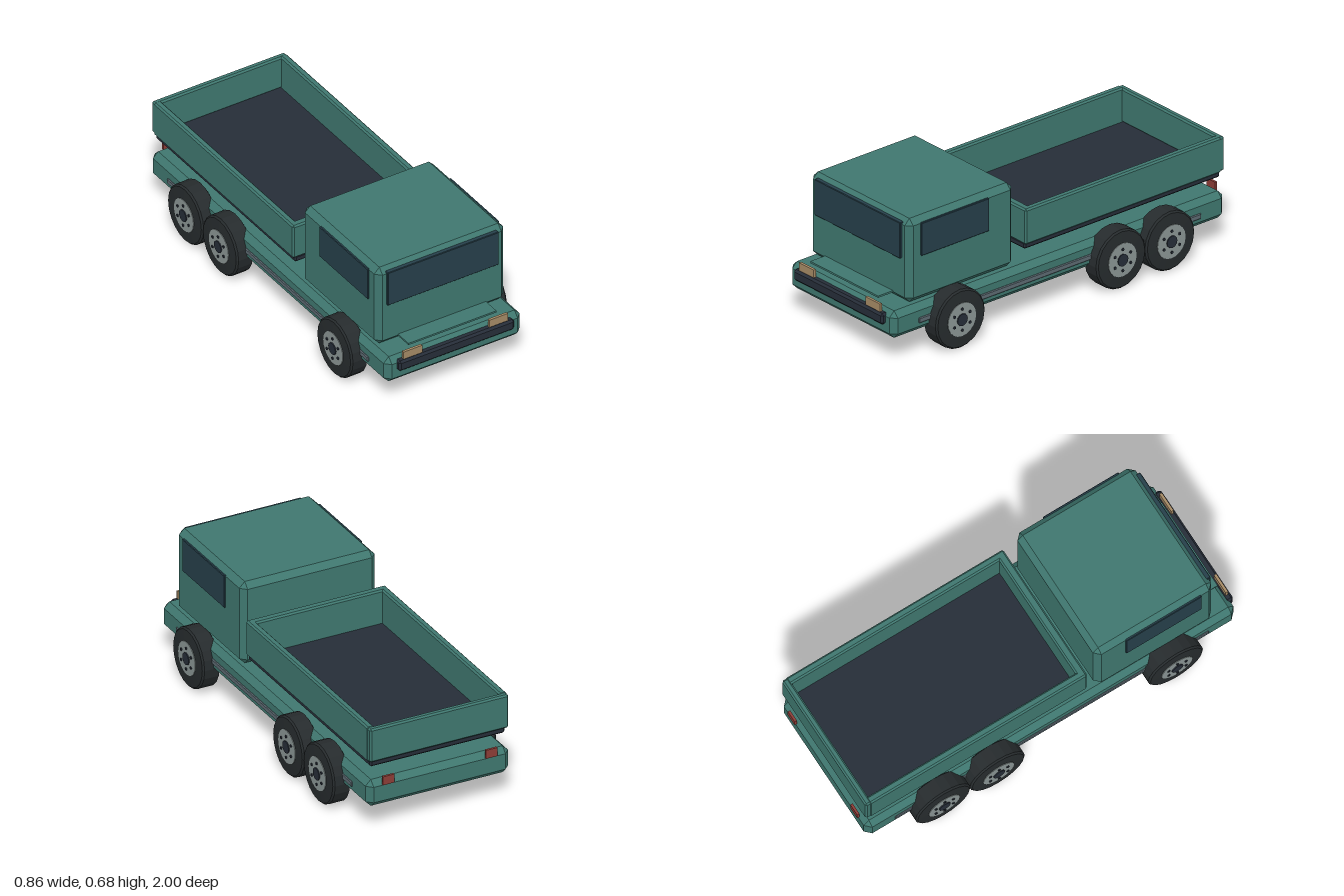
import * as THREE from 'three';
import { ConvexGeometry } from 'three/addons/geometries/ConvexGeometry.js';

const mat = (color, flatShading = true) => new THREE.MeshStandardMaterial({ color, flatShading });
const paint = mat(0x3f776f);
const dark = mat(0x262d38);
const glass = mat(0x263f4a);
const rubber = mat(0x262b2d);
const metal = mat(0x8a9594);
const steel = mat(0x5c6a72);
const amber = mat(0xa58a65);
const red = mat(0x8c3c36);

// Box given by its limits, with every edge and corner cut at size c
function block(parent, name, material, [x0, x1], [y0, y1], [z0, z1], c = 0) {
  const hx = (x1 - x0) / 2, hy = (y1 - y0) / 2, hz = (z1 - z0) / 2;
  let geometry;
  if (c > 0) {
    const pts = [];
    for (const sx of [-1, 1]) for (const sy of [-1, 1]) for (const sz of [-1, 1]) {
      pts.push(
        new THREE.Vector3(sx * hx, sy * (hy - c), sz * (hz - c)),
        new THREE.Vector3(sx * (hx - c), sy * hy, sz * (hz - c)),
        new THREE.Vector3(sx * (hx - c), sy * (hy - c), sz * hz));
    }
    geometry = new ConvexGeometry(pts);
  } else {
    geometry = new THREE.BoxGeometry(2 * hx, 2 * hy, 2 * hz);
  }
  const mesh = new THREE.Mesh(geometry, material);
  mesh.name = name;
  mesh.position.set((x0 + x1) / 2, (y0 + y1) / 2, (z0 + z1) / 2);
  parent.add(mesh);
  return mesh;
}

// Same block on both sides of the truck
function pair(parent, name, material, [x0, x1], y, z, c) {
  block(parent, name + 'Left', material, [x0, x1], y, z, c);
  block(parent, name + 'Right', material, [-x1, -x0], y, z, c);
}

// Disc whose axis runs along x
function disc(parent, name, material, r, x0, x1, y = 0, z = 0, sides = 18) {
  const mesh = new THREE.Mesh(
    new THREE.CylinderGeometry(r, r, x1 - x0, sides).rotateZ(-Math.PI / 2), material);
  mesh.name = name;
  mesh.position.set((x0 + x1) / 2, y, z);
  parent.add(mesh);
}

// Wheel with its outer face towards +x
function makeWheel(name) {
  const wheel = new THREE.Group();
  wheel.name = name;
  const profile = [[0, -0.045], [0.138, -0.045], [0.146, -0.04], [0.146, 0.036],
    [0.138, 0.044], [0.088, 0.048], [0, 0.048]].map(p => new THREE.Vector2(...p));
  const tyre = new THREE.Mesh(new THREE.LatheGeometry(profile, 20).rotateZ(-Math.PI / 2), rubber);
  tyre.name = 'tyre';
  wheel.add(tyre);
  disc(wheel, 'rim', metal, 0.083, 0.03, 0.051, 0, 0, 20);
  disc(wheel, 'hub', dark, 0.03, 0.04, 0.056, 0, 0, 12);
  for (let i = 0; i < 6; i++) {
    const a = (i / 6) * Math.PI * 2;
    disc(wheel, 'wheelNut', dark, 0.007, 0.045, 0.056, 0.053 * Math.cos(a), 0.053 * Math.sin(a), 6);
  }
  return wheel;
}

export function createModel() {
  const truck = new THREE.Group();
  truck.name = 'truck';

  // Chassis
  const chassis = new THREE.Group();
  chassis.name = 'chassis';
  truck.add(chassis);
  block(chassis, 'chassisBody', paint, [-0.365, 0.365], [0.125, 0.26], [-0.99, 0.98], 0.028);
  block(chassis, 'underTray', dark, [-0.28, 0.28], [0.095, 0.14], [-0.9, 0.89], 0.008);
  pair(chassis, 'sideRail', steel, [0.35, 0.371], [0.17, 0.197], [-0.84, 0.83], 0.004);
  block(chassis, 'frontBumper', dark, [-0.31, 0.31], [0.19, 0.245], [0.96, 1.0], 0.01);
  pair(chassis, 'headlight', amber, [0.18, 0.28], [0.235, 0.284], [0.975, 0.988]);
  pair(chassis, 'tailLight', red, [0.235, 0.293], [0.235, 0.278], [-0.997, -0.985]);

  // Cab
  const cab = new THREE.Group();
  cab.name = 'cab';
  truck.add(cab);
  block(cab, 'cabBody', paint, [-0.346, 0.346], [0.265, 0.682], [0.243, 0.873], 0.028);
  block(cab, 'windscreen', glass, [-0.298, 0.298], [0.484, 0.664], [0.86, 0.884], 0.003);
  pair(cab, 'sideWindow', glass, [0.335, 0.353], [0.492, 0.657], [0.4, 0.802], 0.003);
  block(cab, 'frontLedge', paint, [-0.236, 0.236], [0.29, 0.299], [0.84, 0.96]);

  // Open cargo bed
  const bed = new THREE.Group();
  bed.name = 'cargoBed';
  truck.add(bed);
  block(bed, 'bedFloor', dark, [-0.345, 0.345], [0.328, 0.363], [-0.972, 0.187], 0.008);
  pair(bed, 'bedSide', paint, [0.32, 0.357], [0.355, 0.532], [-0.97, 0.19], 0.008);
  block(bed, 'bedFront', paint, [-0.345, 0.345], [0.355, 0.532], [0.148, 0.19], 0.008);
  block(bed, 'tailgate', paint, [-0.355, 0.355], [0.36, 0.53], [-0.99, -0.957], 0.008);

  // Wheels, one front axle and two rear axles
  const axles = { front: 0.625, middle: -0.325, rear: -0.615 };
  for (const [name, z] of Object.entries(axles)) {
    for (const side of [1, -1]) {
      const wheel = makeWheel(name + 'Wheel' + (side > 0 ? 'Left' : 'Right'));
      wheel.position.set(side * 0.375, 0.146, z);
      if (side < 0) wheel.rotation.y = Math.PI;
      truck.add(wheel);
    }
  }
  return truck;
}
